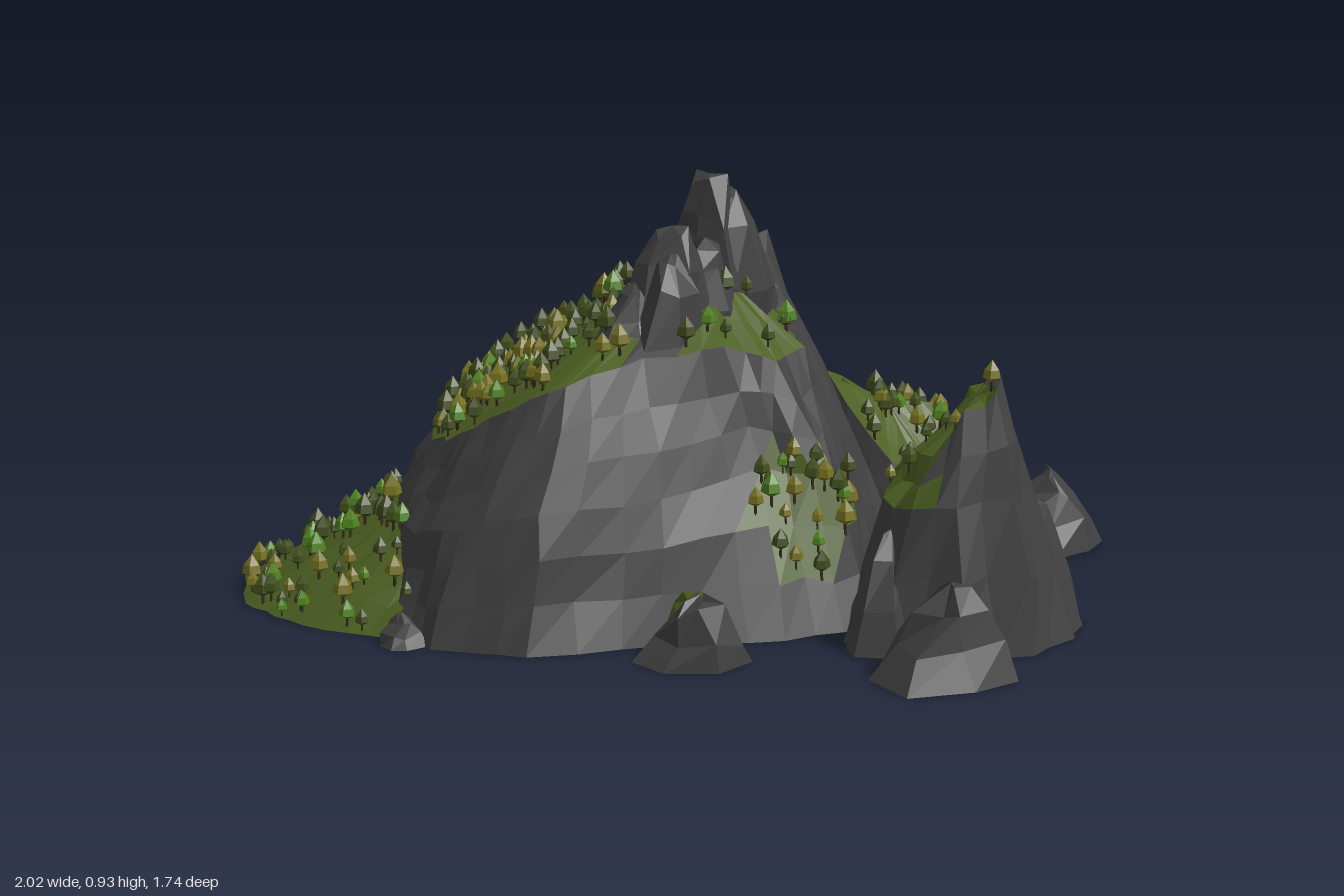
import * as THREE from 'three';
import { mergeGeometries } from 'three/addons/utils/BufferGeometryUtils.js';

function material(name, color) {
  const m = new THREE.MeshStandardMaterial({ color, side: THREE.DoubleSide });
  m.name = name;
  return m;
}

export function createModel() {
  const group = new THREE.Group();
  const rockMat = material('darkRock', 0x404041);
  const grassMat = material('mossGrass', 0x4c5f21);
  const leafMats = [
    material('darkLeaves', 0x3f4b1b), material('oliveLeaves', 0x757020), material('greenLeaves', 0x4f821d),
  ];
  const trunkMat = material('treeTrunk', 0x33261a);

  let seed = 7;
  const rand = () => (seed = (seed * 16807) % 2147483647) / 2147483647;
  const leaves = [[], [], []], trunks = [];

  // Small low-poly tree: five-sided gem crown on a thin trunk
  function plant(p) {
    const s = 0.6 + rand() * 0.55;
    const place = (g) => g.rotateY(rand() * 6).scale(s, s, s).translate(p.x, p.y, p.z);
    const profile = [[0, 0.014], [0.021, 0.025], [0.017, 0.042], [0, 0.064]].map(([x, y]) => new THREE.Vector2(x, y));
    const pick = rand();
    leaves[pick < 0.6 ? 0 : pick < 0.82 ? 1 : 2].push(place(new THREE.LatheGeometry(profile, 5).toNonIndexed()));
    trunks.push(place(new THREE.CylinderGeometry(0.003, 0.004, 0.03, 4).translate(0, 0.008, 0).toNonIndexed()));
  }

  const lerpRow = (a, b, t) => a.map((p, i) => p.clone().lerp(b[i], t));

  // Faceted skin through a stack of rings; isGrass picks turf faces, density sets trees per area
  function loft(name, ringList, o = {}) {
    const { cap, isGrass, density = () => 0, sub = 2, jitter = 0.012, closed = true } = o;
    let rings = ringList.map((r) => r.map((p) => new THREE.Vector3(...p)));
    if (cap) rings.push(rings[0].map(() => new THREE.Vector3(...cap)));
    rings = rings.map((r) => r.flatMap((p, i) => {
      if (!closed && i === r.length - 1) return [p];
      const q = r[(i + 1) % r.length];
      return Array.from({ length: sub }, (_, k) => p.clone().lerp(q, k / sub));
    }));
    const rows = [];
    rings.forEach((r, i) => {
      rows.push(r);
      if (i < rings.length - 1) for (let k = 1; k < sub; k++) rows.push(lerpRow(r, rings[i + 1], k / sub));
    });
    rows.forEach((r, j) => {
      const fade = cap ? Math.min(1, (rows.length - 1 - j) / sub) : 1;
      r.forEach((p) => {
        const d = () => (rand() - 0.5) * 2 * jitter * fade;
        p.add(new THREE.Vector3(d(), j ? d() : 0, d()));
      });
    });
    const rock = [], grass = [];
    const face = (a, b, c, band) => {
      const area = b.clone().sub(a).cross(c.clone().sub(a)).length() / 2;
      if (area < 1e-7) return;
      const m = a.clone().add(b).add(c).divideScalar(3);
      const turf = isGrass && isGrass(m, band);
      for (const p of [a, b, c]) (turf ? grass : rock).push(p.x, p.y, p.z);
      if (!turf) return;
      for (let k = Math.floor(area * density(m) + rand()); k > 0; k--) {
        let u = rand(), v = rand();
        if (u + v > 1) { u = 1 - u; v = 1 - v; }
        plant(a.clone().addScaledVector(b.clone().sub(a), u).addScaledVector(c.clone().sub(a), v));
      }
    };
    for (let j = 0; j < rows.length - 1; j++) {
      const lo = rows[j], hi = rows[j + 1], n = lo.length;
      for (let i = 0; i < (closed ? n : n - 1); i++) {
        const k = (i + 1) % n, band = j / sub;
        face(lo[i], hi[i], lo[k], band);
        face(lo[k], hi[i], hi[k], band);
      }
    }
    for (const [verts, mat, part] of [[rock, rockMat, 'Rock'], [grass, grassMat, 'Grass']]) {
      if (!verts.length) continue;
      const g = new THREE.BufferGeometry();
      g.setAttribute('position', new THREE.Float32BufferAttribute(verts, 3));
      g.computeVertexNormals();
      const mesh = new THREE.Mesh(g, mat);
      mesh.name = name + part;
      group.add(mesh);
    }
  }

  // Main mountain: foot, waist and rim, closed by a sloping top
  const foot = [[.5, 0, 0], [.44, 0, .15], [.36, 0, .36], [.15, 0, .44], [-.1, 0, .44], [-.4, 0, .5], [-.6, 0, .42], [-.68, 0, .3],
    [-.74, 0, .1], [-.75, 0, -.1], [-.66, 0, -.27], [-.45, 0, -.38], [-.15, 0, -.44], [.12, 0, -.46], [.4, 0, -.42], [.5, 0, -.2]];
  const waist = [[.36, .34, 0], [.34, .32, .16], [.28, .31, .27], [.12, .34, .28], [-.1, .3, .36], [-.36, .28, .42], [-.53, .24, .35], [-.62, .2, .22],
    [-.67, .2, .06], [-.66, .2, -.12], [-.58, .24, -.27], [-.4, .3, -.36], [-.13, .34, -.39], [.12, .38, -.36], [.32, .42, -.33], [.36, .4, -.15]];
  const rim = [[.22, .58, .02], [.23, .57, .12], [.17, .56, .2], [.05, .59, .22], [-.12, .58, .25], [-.3, .54, .3], [-.42, .48, .25], [-.52, .4, .15],
    [-.58, .36, .03], [-.57, .35, -.13], [-.5, .4, -.3], [-.32, .52, -.35], [-.13, .62, -.33], [.04, .7, -.3], [.2, .76, -.27], [.22, .66, -.12]];
  const topGrass = (m, band) => {
    if (Math.abs(m.x + .25 - .71 * (m.z + .33)) < .04 && m.z < 0) return false; // bare spine
    if (m.x < -.14) return true;
    if (m.z < -.03) return m.x < .15;
    return m.x > -.02 && band < 2.6;
  };
  loft('mountain', [foot, waist, rim], {
    cap: [.02, .76, -.05], sub: 3, jitter: .009,
    isGrass: (m, band) => (band >= 2 ? topGrass(m, band)
      : m.z > .17 && Math.hypot((m.x - .2) / .125, (m.y - .25) / .12) < 1),
    density: (m) => (m.y < .4 && m.x > 0 ? 420 : m.x < -.15 && m.z < .2 ? 470 : 110),
  });

  // Low grassy apron wrapping the right end and climbing along the back
  const edge = [[-.68, 0, .33], [-.83, 0, .25], [-.93, 0, .13], [-1, 0, .03], [-1, 0, -.2], [-.85, 0, -.25], [-.6, 0, -.38],
    [-.3, 0, -.53], [-.03, 0, -.6], [.2, 0, -.6], [.4, 0, -.52], [.55, 0, -.5]];
  const inner = [[-.6, .15, .22], [-.62, .2, .15], [-.64, .22, .08], [-.64, .23, 0], [-.63, .23, -.12], [-.6, .21, -.2], [-.45, .13, -.31],
    [-.25, .12, -.37], [-.05, .21, -.36], [.15, .33, -.33], [.32, .42, -.29], [.4, .4, -.2]];
  loft('apron', [edge, inner], {
    closed: false, sub: 3, jitter: .006,
    isGrass: (m) => m.z > -.6 + .42 * Math.max(0, m.x + .03),
    density: (m) => (m.x < -.62 ? 310 : 130),
  });

  // Low ridge on the left end: a grassy roof falling outward, and a grassy strip at its foot
  const flip = (rings) => rings.map((r) => r.slice().reverse());
  loft('ridge', flip([
    [[.48, 0, 0], [.6, 0, 0], [.73, 0, -.05], [.72, 0, -.25], [.66, 0, -.55], [.45, 0, -.53], [.3, 0, -.42], [.3, 0, -.15]],
    [[.46, .26, -.06], [.56, .2, -.08], [.63, .19, -.12], [.62, .34, -.28], [.64, .2, -.46], [.48, .29, -.43], [.34, .42, -.36], [.34, .44, -.15]],
  ]), {
    cap: [.48, .37, -.24], sub: 3, jitter: .008,
    isGrass: (m, band) => band >= 1 || (m.x > .62 && m.z < -.12 && m.z > -.45 && m.y > .03 && m.y < .15),
    density: () => 170,
  });

  // Front crag with a grassy slope behind its crest
  loft('frontCrag', flip([
    [[.28, 0, .46], [.34, 0, .56], [.5, 0, .6], [.66, 0, .6], [.76, 0, .5], [.81, 0, .4], [.8, 0, .23], [.6, 0, .2], [.42, 0, .25], [.32, 0, .34]],
    [[.36, .3, .44], [.4, .3, .52], [.5, .32, .56], [.62, .32, .55], [.68, .28, .47], [.7, .27, .38], [.69, .27, .27], [.58, .28, .24], [.44, .3, .28], [.38, .32, .36]],
    [[.43, .39, .42], [.46, .41, .48], [.52, .5, .51], [.59, .54, .5], [.61, .57, .45], [.61, .57, .39], [.6, .54, .35], [.55, .5, .32], [.47, .41, .33], [.43, .39, .38]],
  ]), {
    cap: [.56, .52, .42],
    isGrass: (m, band) => (band >= 2 && m.x < .59) || (m.x < .46 && m.y > .31) || (m.z < .28 && m.y > .2 && m.x > .46 && m.x < .66),
    density: () => 130,
  });

  // Jagged tapering rock: centre, base height, half widths, top height, tip offset
  function spire(name, x, z, y, rx, rz, top, dx = 0, dz = 0, isGrass = undefined) {
    const sides = 7, spread = Array.from({ length: sides }, () => 0.8 + rand() * 0.32);
    const rings = [[1, 0], [.77, .36], [.44, .74], [.19, .96]].map(([r, t]) => spread.map((s, i) => {
      const a = (i / sides) * Math.PI * 2 + x * 9;
      return [x + dx * t + Math.cos(a) * rx * r * s, y + (top - y) * t, z + dz * t + Math.sin(a) * rz * r * s];
    }));
    loft(name, rings, { cap: [x + dx, top, z + dz], sub: 1, jitter: Math.min(rx, rz) * 0.14, isGrass });
  }
  // Summit rocks
  spire('summit', .06, -.07, .55, .15, .17, .93, -.01, 0);
  spire('summitSide', .11, -.07, .55, .11, .13, .9, -.02, 0);
  spire('summitShoulder', .02, -.01, .55, .15, .15, .8, .01, .02);
  spire('secondPeak', -.06, .08, .5, .15, .14, .84, .01, 0);
  spire('secondPeakFront', -.06, .15, .46, .14, .11, .79, 0, 0);
  spire('thirdPeak', -.17, .14, .46, .14, .1, .72, .03, -.01);
  // Boulders and crags around the foot
  spire('frontBoulder', -.05, .54, 0, .12, .12, .15, 0, .02, (m, band) => band >= 1 && m.z < .56);
  spire('nearBoulder', .44, .73, 0, .15, .13, .2, .02, -.01);
  spire('cragFoot', .35, .5, 0, .09, .09, .25, .02, -.02);
  spire('cragShoulder', .73, .33, 0, .09, .11, .27, -.01, 0);
  spire('leftBoulder', .865, -.24, 0, .14, .11, .19, .01, 0);
  spire('backCrag', .12, -.73, 0, .16, .14, .38, .02, .02);
  spire('backCragLow', .08, -.75, 0, .11, .11, .22, -.04, -.02);
  spire('backBoulder', .37, -.63, 0, .14, .1, .22, .02, 0);
  spire('ridgeSpire', .6, -.48, 0, .09, .08, .24, .03, -.01);
  spire('apronStone', -.2, -.5, 0, .075, .05, .11);
  spire('rightStone', -.75, -.36, 0, .06, .055, .08);
  spire('cornerStone', -.66, .37, 0, .05, .05, .07);

  // Trees, merged by colour
  const forest = new THREE.Group();
  forest.name = 'trees';
  [...leaves, trunks].forEach((list, i) => {
    const g = mergeGeometries(list);
    g.computeVertexNormals();
    const mesh = new THREE.Mesh(g, i < 3 ? leafMats[i] : trunkMat);
    mesh.name = i < 3 ? 'treeCrowns' + (i + 1) : 'treeTrunks';
    forest.add(mesh);
  });
  group.add(forest);

  // Trim anything below the ground
  group.traverse((m) => {
    if (!m.isMesh) return;
    const p = m.geometry.attributes.position;
    for (let i = 0; i < p.count; i++) p.setY(i, Math.max(0, p.getY(i)));
  });
  return group;
}
